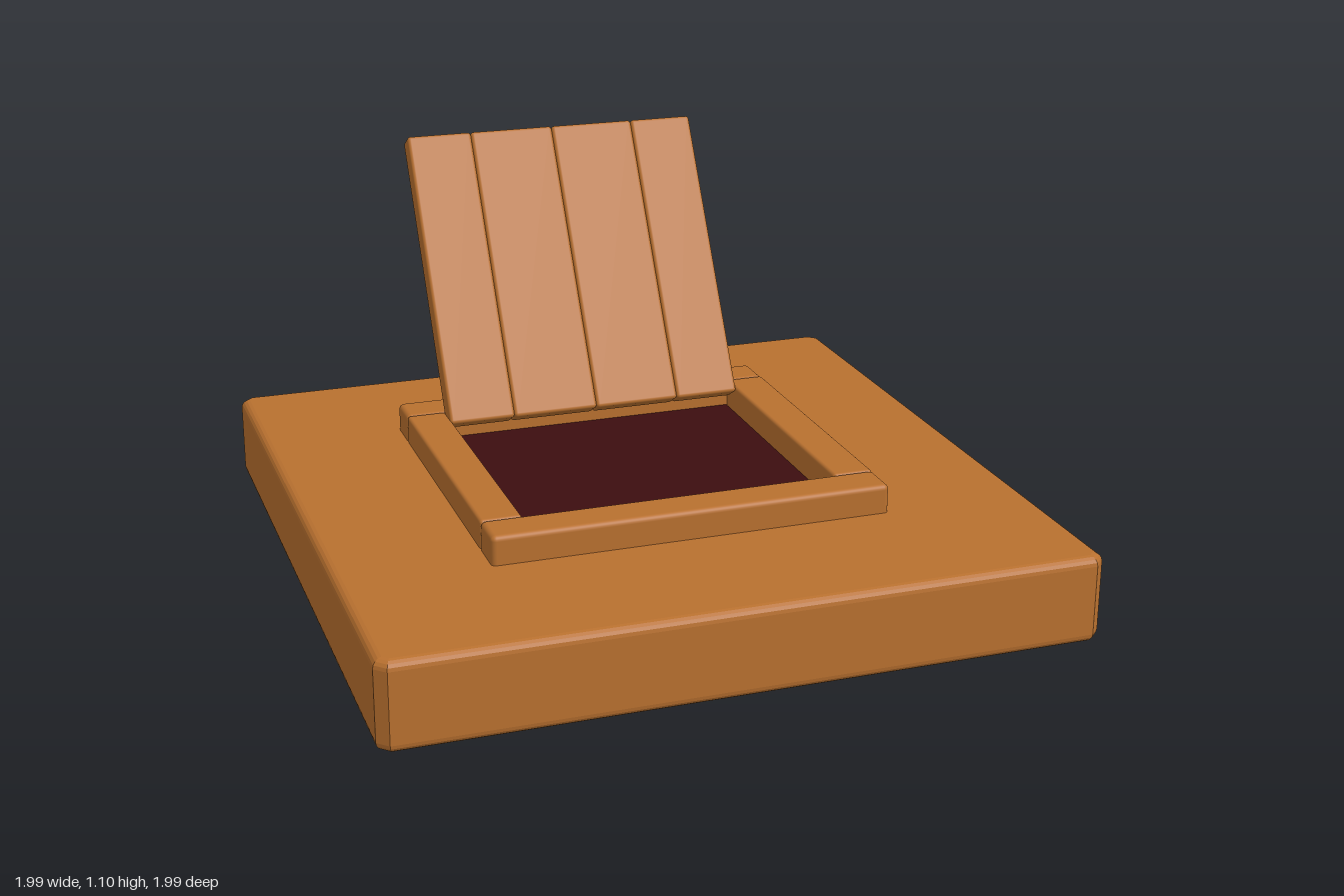
import * as THREE from 'three';
import { RoundedBoxGeometry } from 'three/addons/geometries/RoundedBoxGeometry.js';

export function createModel() {
  const wood = new THREE.MeshStandardMaterial({ color: 0xb8702f });
  wood.name = 'wood';
  const darkRed = new THREE.MeshStandardMaterial({ color: 0x3c0d10 });
  darkRed.name = 'dark red';

  const model = new THREE.Group();
  model.name = 'trapdoor';

  const add = (parent, name, geometry, material) => {
    const mesh = new THREE.Mesh(geometry, material);
    mesh.name = name;
    parent.add(mesh);
    return mesh;
  };
  // Rounded box given by its limits on each axis
  const block = (parent, name, [x0, x1], [y0, y1], [z0, z1], radius) => {
    const mesh = add(parent, name, new RoundedBoxGeometry(x1 - x0, y1 - y0, z1 - z0, 3, radius), wood);
    mesh.position.set((x0 + x1) / 2, (y0 + y1) / 2, (z0 + z1) / 2);
    return mesh;
  };
  const polygon = (points, Type = THREE.Shape) =>
    new Type(points.map(([x, y]) => new THREE.Vector2(x, y)));

  // Floor slab with soft edges and a square opening (shape y is -z)
  const bevel = 0.025, half = 0.995 - bevel;
  const c = half - 0.015;
  const outline = polygon([
    [-c, -half], [c, -half], [half, -c], [half, c],
    [c, half], [-c, half], [-half, c], [-half, -c],
  ]);
  outline.holes.push(polygon([[-0.57, -0.525], [-0.57, 0.545], [0.565, 0.545], [0.565, -0.525]], THREE.Path));
  const slab = new THREE.ExtrudeGeometry(outline, {
    depth: 0.25 - 2 * bevel, bevelEnabled: true, bevelSize: bevel,
    bevelThickness: bevel, bevelSegments: 4,
  });
  slab.rotateX(-Math.PI / 2);
  add(model, 'floorSlab', slab, wood).position.y = bevel;

  // Frame of four beams lining the opening
  const frame = new THREE.Group();
  frame.name = 'frame';
  model.add(frame);
  const height = [0.015, 0.333];
  block(frame, 'frontBeam', [-0.578, 0.568], height, [0.412, 0.532], 0.015);
  block(frame, 'backBeam', [-0.578, 0.568], height, [-0.552, -0.432], 0.015);
  block(frame, 'rightBeam', [-0.578, -0.46], height, [-0.434, 0.414], 0.01);
  block(frame, 'leftBeam', [0.45, 0.568], height, [-0.434, 0.414], 0.01);

  // Dark filling of the opening
  const pit = add(model, 'darkPit', new THREE.BoxGeometry(0.93, 0.2, 0.86), darkRed);
  pit.position.set(-0.005, 0.15, -0.01);

  // Thin uneven wooden strip along the front of the opening
  const strip = new THREE.ShapeGeometry(polygon([
    [-0.463, -0.414], [0.44, -0.414], [0.43, -0.33], [0.39, -0.302], [0, -0.29],
    [-0.38, -0.262], [-0.43, -0.24], [-0.463, -0.18],
  ]));
  strip.rotateX(-Math.PI / 2);
  add(model, 'frontStrip', strip, wood).position.y = 0.253;

  // Open lid of four planks, leaning back
  const lid = new THREE.Group();
  lid.name = 'lid';
  lid.position.set(0, 0.7, -0.604);
  lid.rotation.x = -THREE.MathUtils.degToRad(30.4);
  model.add(lid);
  const seams = [-0.465, -0.265, -0.005, 0.255, 0.45];
  for (let i = 0; i < 4; i++) {
    block(lid, 'plank', [seams[i], seams[i + 1]], [-0.455, 0.446], [-0.035, 0.035], 0.01);
  }
  return model;
}
